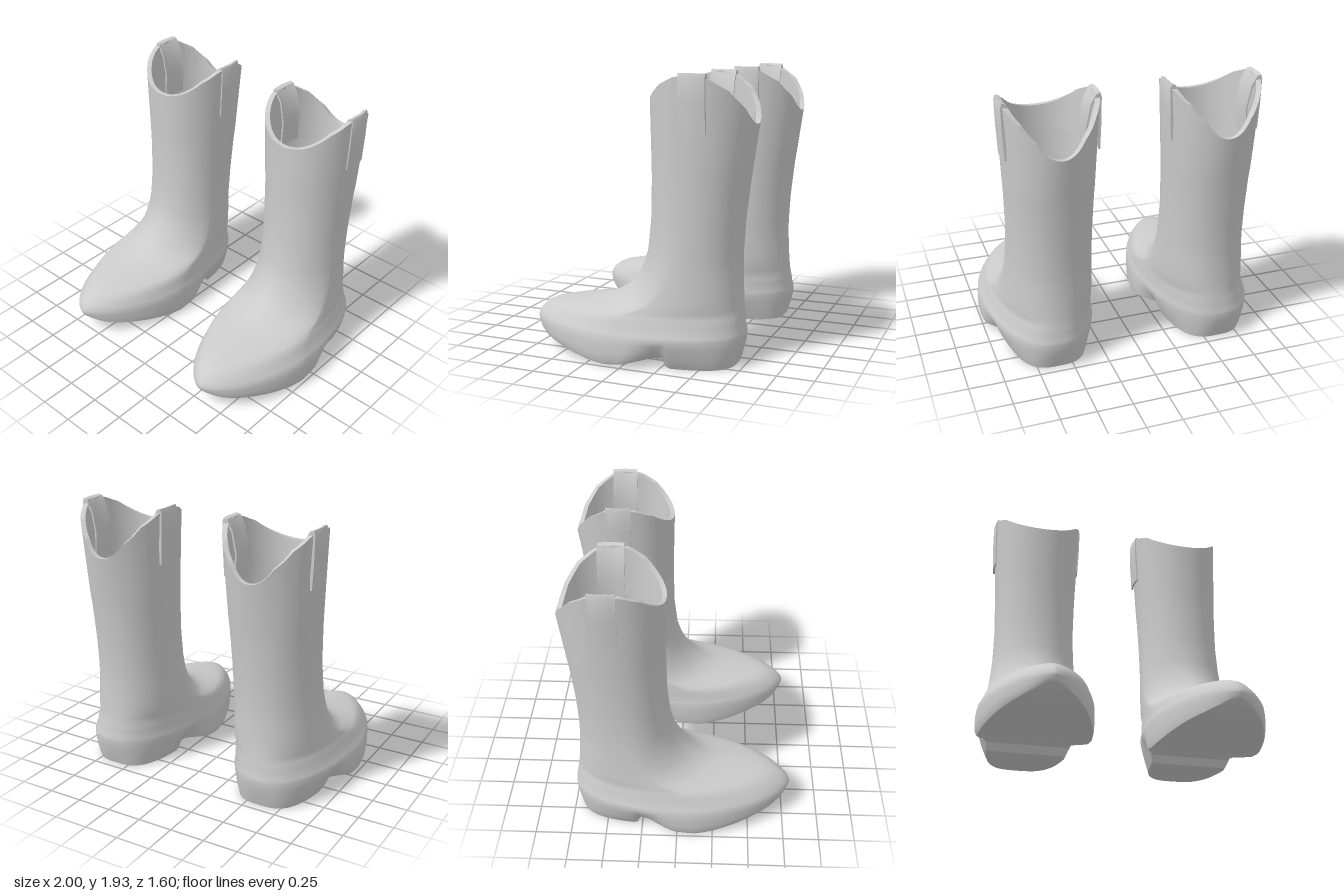
import * as THREE from 'three';
import { toCreasedNormals } from 'three/addons/utils/BufferGeometryUtils.js';

const N = 160; // points around every ring
const material = new THREE.MeshStandardMaterial({ color: 0xcccccc, side: THREE.DoubleSide });
const { lerp, smoothstep } = THREE.MathUtils;

// Piecewise linear lookup in a list of [key, value], keys descending
function lookup(table, key) {
  if (key >= table[0][0]) return table[0][1];
  for (let i = 1; i < table.length; i++) {
    const [k0, v0] = table[i - 1], [k1, v1] = table[i];
    if (key >= k1) return lerp(v0, v1, (key - k0) / (k1 - k0));
  }
  return table[table.length - 1][1];
}

// Underside height along z: toe spring, ball, arch, heel breast, heel
const SOLE = [[0.78, 0.15], [0.72, 0.115], [0.64, 0.09], [0.4, 0.045], [0.25, 0.02], [0.12, 0.008],
  [0, 0.02], [-0.1, 0.045], [-0.2, 0.068], [-0.265, 0.065], [-0.29, 0]];
// Scalloped rim height along z
const RIM = [[-0.075, 1.725], [-0.15, 1.79], [-0.22, 1.85], [-0.33, 1.9], [-0.44, 1.92], [-0.57, 1.89],
  [-0.68, 1.82], [-0.76, 1.71], [-0.8, 1.6]];

// Horizontal sections: y, front z, back z, widest z, centre x, half width, front and back roundness
const LEVELS = [
  [0.2, 0.8, -0.74, 0.1, 0.603, 0.392, 1.6, 2.3],
  [0.225, 0.79, -0.739, 0.09, 0.6, 0.382, 1.6, 2.3],
  [0.25, 0.77, -0.73, 0.07, 0.597, 0.372, 1.6, 2.3],
  [0.29, 0.725, -0.727, 0.05, 0.592, 0.362, 1.6, 2.3],
  [0.32, 0.66, -0.722, 0.02, 0.589, 0.355, 1.6, 2.3],
  [0.335, 0.59, -0.72, 0, 0.587, 0.35, 1.55, 2.25],
  [0.35, 0.5, -0.718, -0.03, 0.585, 0.345, 1.5, 2.25],
  [0.365, 0.4, -0.716, -0.06, 0.584, 0.342, 1.5, 2.2],
  [0.385, 0.28, -0.714, -0.11, 0.583, 0.337, 1.5, 2.2],
  [0.42, 0.18, -0.71, -0.17, 0.58, 0.33, 1.5, 2.2],
  [0.48, 0.09, -0.706, -0.23, 0.577, 0.32, 1.6, 2.2],
  [0.56, 0.025, -0.703, -0.28, 0.574, 0.312, 1.7, 2.15],
  [0.64, -0.02, -0.7, -0.31, 0.572, 0.305, 1.8, 2.1],
  [0.74, -0.055, -0.7, -0.34, 0.57, 0.298, 1.95, 2.1],
  [0.95, -0.08, -0.712, -0.38, 0.568, 0.293, 2.1, 2.1],
  [1.2, -0.085, -0.74, -0.4, 0.567, 0.3, 2.1, 2.1],
];
const SHAFT = [1.3, -0.085, -0.755, -0.41, 0.567, 0.305, 2.1, 2.1];
const TOP = [1.9, -0.075, -0.8, -0.43, 0.565, 0.332, 2.1, 2.1];

// One ring; yAt(i, z) gives the height, heel narrows the width behind the arch
function ring([, zf, zb, zw, cx, hw, nf, nb], yAt, heel = 1) {
  return Array.from({ length: N }, (_, i) => {
    const a = (i / N) * Math.PI * 2, u = Math.cos(a), n = u > 0 ? nf : nb;
    const z = zw + u * (u > 0 ? zf - zw : zw - zb);
    const w = Math.pow(Math.max(0, 1 - Math.abs(u) ** n), 1 / n) * Math.sign(Math.sin(a));
    const k = lerp(1, heel, smoothstep(-z, 0, 0.3));
    return new THREE.Vector3(cx + w * hw * k, yAt(i, z), z);
  });
}

function build(points, index) {
  const g = new THREE.BufferGeometry().setFromPoints(points);
  g.setIndex(index);
  g.computeVertexNormals();
  return g;
}

// Skin over a stack of closed rings
function loft(rings) {
  const index = [];
  for (let r = 0; r < rings.length - 1; r++) {
    for (let i = 0; i < N; i++) {
      const j = (i + 1) % N, a = r * N + i, b = r * N + j;
      index.push(a, b, b + N, a, b + N, a + N);
    }
  }
  return build(rings.flat(), index);
}

function add(parent, name, geometry) {
  const mesh = new THREE.Mesh(geometry, material);
  mesh.name = name;
  parent.add(mesh);
  return mesh;
}

// Pull strap folded over the rim, bent to follow the shaft
function strapGeometry() {
  const shape = new THREE.Shape([[-0.006, 1.54], [0.004, 1.75], [0.006, 1.9], [-0.004, 1.928], [-0.03, 1.92],
    [-0.07, 1.85], [-0.1, 1.7], [-0.09, 1.5], [-0.08, 1.5], [-0.088, 1.7], [-0.06, 1.84], [-0.022, 1.9],
    [-0.02, 1.54]].map(([x, y]) => new THREE.Vector2(x, y)));
  const g = new THREE.ExtrudeGeometry(shape, { depth: 0.18, steps: 6, bevelEnabled: false });
  g.translate(0, 0, -0.55);
  const p = g.attributes.position;
  for (let i = 0; i < p.count; i++) {
    const d = (p.getZ(i) + 0.45) / 0.09;
    p.setX(i, p.getX(i) - 0.01 * d * d);
  }
  return toCreasedNormals(g, 0.7);
}

function createBoot(name) {
  const boot = new THREE.Group();
  boot.name = name;

  // Foot sides, from the sole edge up to the welt
  const soleRing = ring([0, 0.785, -0.69, 0.1, 0.6, 0.382, 1.6, 3.2], (i, z) => lookup(SOLE, z), 0.76);
  const side = (s, level, heel) => ring(level, (i) => lerp(soleRing[i].y, 0.2, s), heel);
  const rings = [
    soleRing,
    side(0.15, [0, 0.79, -0.7, 0.1, 0.603, 0.392, 1.6, 3], 0.79),
    side(0.4, [0, 0.795, -0.715, 0.1, 0.604, 0.396, 1.6, 2.7], 0.86),
    side(0.75, [0, 0.8, -0.735, 0.1, 0.604, 0.396, 1.6, 2.4], 0.95),
  ];

  // Vamp and ankle
  for (const level of LEVELS) rings.push(ring(level, () => level[0]));

  // Upper shaft, spreading towards the scalloped rim
  for (let k = 0; k <= 8; k++) {
    const s = k / 8, level = SHAFT.map((v, c) => lerp(v, TOP[c], s));
    const top = ring(TOP, (i, z) => lookup(RIM, z));
    rings.push(ring(level, (i) => lerp(SHAFT[0], top[i].y, s)));
  }
  add(boot, 'upper', loft(rings));

  // Sole and heel bottom, strips across mirrored edge points
  const index = [];
  for (let i = 0; i < N / 2; i++) {
    const q = (N - i) % N, q1 = N - i - 1;
    index.push(q, q1, i, q1, i + 1, i);
  }
  add(boot, 'soleAndHeel', toCreasedNormals(build(soleRing, index), 0.6));

  // Rim edge and short lining inside the opening
  const inset = [1.9, -0.108, -0.767, -0.43, 0.565, 0.299, 2.1, 2.1];
  const low = [1.5, -0.118, -0.745, -0.42, 0.566, 0.282, 2.1, 2.1];
  const rim = rings[rings.length - 1];
  const lining = loft([rim, ring(inset, (i) => rim[i].y), ring(low, (i, z) => 1.59 + 0.2 * z)]);
  add(boot, 'rimAndLining', toCreasedNormals(lining, 0.7));

  // Pull straps on both sides of the shaft
  const strap = strapGeometry();
  for (const s of [1, -1]) {
    const mesh = add(boot, s > 0 ? 'outerPullStrap' : 'innerPullStrap', strap);
    mesh.scale.x = s;
    mesh.position.x = TOP[4] + s * (TOP[5] + 0.004);
  }
  return boot;
}

export function createModel() {
  const model = new THREE.Group();
  model.name = 'bootPair';
  const left = createBoot('leftBoot');
  const right = createBoot('rightBoot');
  right.scale.x = -1;
  model.add(left, right);
  return model;
}
